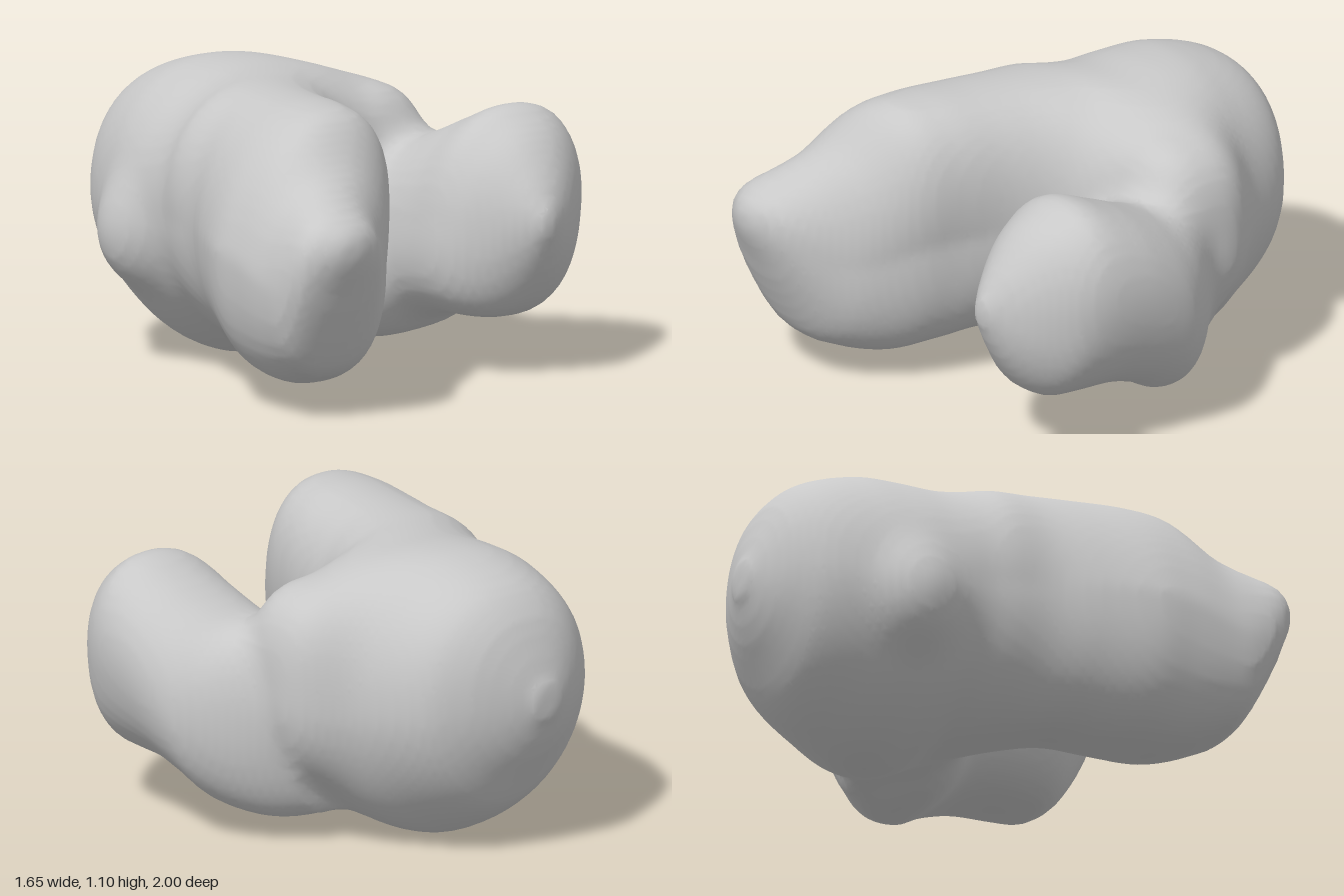
import * as THREE from 'three';

// Cross-sections along z:
// [z, xMin, xMax, yMin, yMax, lean of upper half, lean of lower half, squareness below]
const TRUNK = [
  [-1, -.2, -.1, .56, .66, 0, 0, 2], [-.95, -.31, .04, .42, .81, 0, 0, 2], [-.9, -.39, .15, .33, .92, 0, 0, 2],
  [-.8, -.49, .28, .17, 1.02, 0, 0, 1.9], [-.6, -.57, .385, .04, 1.09, 0, 0, 1.8], [-.45, -.61, .47, 0, 1.1, 0, 0, 1.75],
  [-.3, -.61, .5, .03, 1.09, -.05, 0, 1.8], [-.2, -.61, .42, .08, 1.09, -.08, 0, 1.9], [-.1, -.63, .3, .1, 1.09, -.12, 0, 2],
  [.05, -.66, .11, .12, 1.09, 0, 0, 2.1], [.2, -.73, 0, .13, 1.09, .15, 0, 2.2], [.4, -.81, -.09, .1, 1.09, .3, 0, 2.4],
  [.55, -.82, -.15, .09, 1.06, .32, 0, 2.4], [.7, -.82, -.25, .13, .91, .2, 0, 2.4], [.8, -.82, -.34, .19, .84, .1, 0, 2.4],
  [.9, -.8, -.42, .38, .79, 0, 0, 2.3], [.95, -.76, -.47, .5, .76, 0, 0, 2], [1, -.68, -.57, .61, .71, 0, 0, 2],
];
const LOBE = [
  [-.3, .15, .48, .12, .7, 0, 0, 2], [-.15, .12, .66, .08, .8, 0, 0, 2], [0, .13, .78, .1, .82, .05, .1, 2.1],
  [.1, .15, .81, .155, .86, .1, .15, 2.2], [.25, .165, .82, .2, .93, .15, .2, 2.3], [.42, .175, .805, .21, .99, .15, .2, 2.4],
  [.52, .21, .765, .225, .945, .15, .15, 2.4], [.6, .27, .7, .28, .88, .1, .1, 2.3], [.68, .34, .61, .39, .775, .05, 0, 2.1],
  [.73, .39, .53, .49, .69, 0, 0, 2], [.757, .42, .48, .56, .64, 0, 0, 2],
];
// Rounded swellings: [x, y, z, rx, ry, rz, squareness]
const BUMPS = [
  [.27, .65, -.26, .3, .35, .235, 2.7],  // shoulder beside the trunk
  [.24, .33, -.08, .24, .25, .2, 2],     // low swelling under the lobe's root
  [-.53, .5, -.47, .13, .17, .14, 2],    // knob on the right flank
];

// Smooth interpolation of the sections at one z
function sectionAt(rows, z) {
  const n = rows.length;
  let i = 0;
  while (i < n - 2 && z > rows[i + 1][0]) i++;
  const a = rows[i], b = rows[i + 1], h = b[0] - a[0];
  const t = Math.min(1, Math.max(0, (z - a[0]) / h));
  const slope = (k, c) => {
    const p = rows[Math.max(0, k - 1)], q = rows[Math.min(n - 1, k + 1)];
    return (q[c] - p[c]) / (q[0] - p[0]);
  };
  return a.map((v, c) => v * (1 + 2 * t) * (1 - t) ** 2 + b[c] * t * t * (3 - 2 * t)
    + h * (slope(i, c) * t * (1 - t) ** 2 - slope(i + 1, c) * t * t * (1 - t)));
}

// Approximate signed distances, negative inside
function loftField(s, rows, x, y, z) {
  const rx = (s[2] - s[1]) / 2, ry = (s[4] - s[3]) / 2;
  const v = (y - s[3] - ry) / ry;
  const u = (x - s[1] - rx) / rx - v * (v > 0 ? s[5] : s[6]);
  const p = v > 0 ? 2.2 : s[7];
  const q = (Math.abs(u) ** p + Math.abs(v) ** p) ** (1 / p);
  return Math.max((q - 1) * Math.min(rx, ry), z - rows[rows.length - 1][0], rows[0][0] - z);
}
function bumpField([cx, cy, cz, rx, ry, rz, p], x, y, z) {
  const q = Math.abs((x - cx) / rx) ** p + Math.abs((y - cy) / ry) ** p + Math.abs((z - cz) / rz) ** p;
  return (q ** (1 / p) - 1) * Math.min(rx, ry, rz);
}
function blend(a, b, k) {
  const h = Math.max(k - Math.abs(a - b), 0) / k;
  return Math.min(a, b) - h * h * k / 4;
}

// Wraps one smooth skin around the blended field
function skinGeometry() {
  const step = .028, min = [-.95, -.1, -1.1], size = [68, 47, 79];
  const stride = [1, size[0], size[0] * size[1]];
  const field = new Float32Array(size[0] * size[1] * size[2]);
  const id = (i, j, k) => i + j * stride[1] + k * stride[2];
  for (let k = 0; k < size[2]; k++) {
    const z = min[2] + k * step, trunk = sectionAt(TRUNK, z), lobe = sectionAt(LOBE, z);
    for (let j = 0; j < size[1]; j++) for (let i = 0; i < size[0]; i++) {
      const x = min[0] + i * step, y = min[1] + j * step;
      let d = loftField(trunk, TRUNK, x, y, z);
      for (const b of BUMPS) d = blend(d, bumpField(b, x, y, z), .1);
      field[id(i, j, k)] = blend(d, loftField(lobe, LOBE, x, y, z), .08);
    }
  }

  // One vertex in each grid cell that the surface crosses
  const positions = [], index = [], vertexOf = new Map();
  for (let k = 0; k < size[2] - 1; k++) for (let j = 0; j < size[1] - 1; j++) for (let i = 0; i < size[0] - 1; i++) {
    const sum = [0, 0, 0];
    let count = 0;
    for (let c = 0; c < 8; c++) for (let a = 0; a < 3; a++) {
      if (c >> a & 1) continue;
      const p = [i + (c & 1), j + (c >> 1 & 1), k + (c >> 2)];
      const f = field[id(...p)], g = field[id(...p) + stride[a]];
      if ((f < 0) === (g < 0)) continue;
      p[a] += f / (f - g);
      p.forEach((v, n) => { sum[n] += v; });
      count++;
    }
    if (!count) continue;
    vertexOf.set(id(i, j, k), positions.length / 3);
    positions.push(...sum.map((v, n) => min[n] + step * v / count));
  }

  // One quad around each grid edge that the surface crosses
  for (let k = 1; k < size[2] - 1; k++) for (let j = 1; j < size[1] - 1; j++) for (let i = 1; i < size[0] - 1; i++) {
    const o = id(i, j, k);
    for (let a = 0; a < 3; a++) {
      const inside = field[o] < 0;
      if (inside === field[o + stride[a]] < 0) continue;
      const b = stride[(a + 1) % 3], c = stride[(a + 2) % 3];
      const q = [o - b - c, o - c, o, o - b].map((n) => vertexOf.get(n));
      if (!inside) q.reverse();
      index.push(q[0], q[1], q[2], q[0], q[2], q[3]);
    }
  }
  const geometry = new THREE.BufferGeometry();
  geometry.setAttribute('position', new THREE.Float32BufferAttribute(positions, 3));
  geometry.setIndex(index);
  geometry.computeVertexNormals();
  return geometry;
}

export function createModel() {
  const stone = new THREE.MeshStandardMaterial({ color: 0xc8c8c8 });
  stone.name = 'stone grey';
  const body = new THREE.Mesh(skinGeometry(), stone);
  body.name = 'lobedBoulder';
  const group = new THREE.Group();
  group.name = 'boulder';
  group.add(body);
  return group;
}
